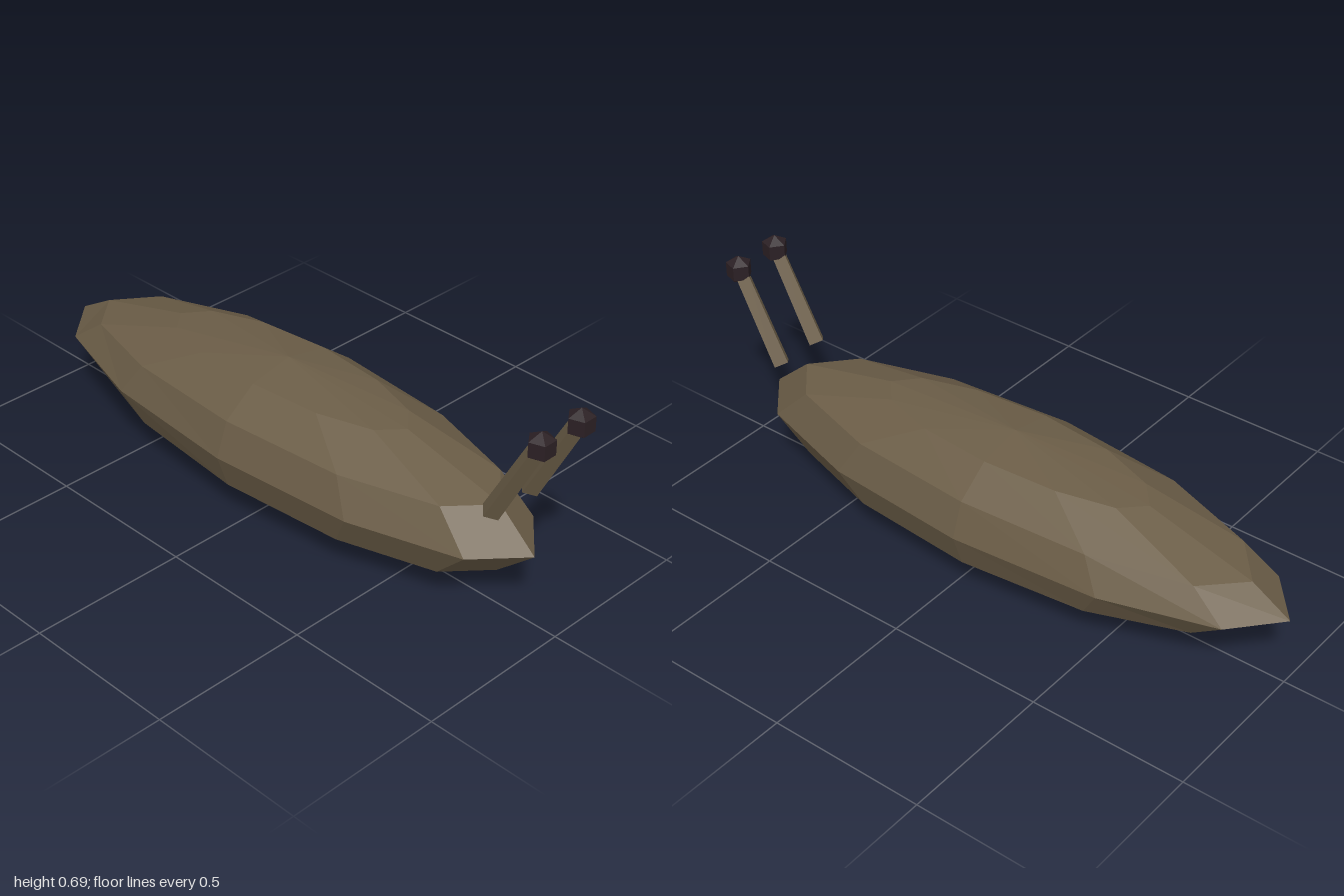
import * as THREE from 'three';

const flat = (name, color) => {
  const m = new THREE.MeshStandardMaterial({ color, flatShading: true });
  m.name = name;
  return m;
};

// A band of a faceted ellipsoid whose tail (-x) flattens towards the tip
function bodyBand(rows, thetaStart, thetaLength) {
  const g = new THREE.SphereGeometry(1, 12, rows, 0, Math.PI * 2, thetaStart, thetaLength);
  const p = g.attributes.position;
  for (let i = 0; i < p.count; i++) {
    const u = p.getX(i);
    const taper = u < 0 ? 1 - 0.43 * u * u : 1;
    p.setXYZ(i, -0.045 + u * 0.955, 0.224 + p.getY(i) * 0.222 * taper, p.getZ(i) * 0.291);
  }
  g.computeVertexNormals();
  return g;
}

export function createModel() {
  const model = new THREE.Group();
  model.name = 'slug';
  const skin = flat('brown skin', 0x6b5d47);
  const sole = flat('grey sole', 0x87877d);
  const dark = flat('dark eye', 0x2b2024);

  const add = (name, geometry, material, parent = model) => {
    const mesh = new THREE.Mesh(geometry, material);
    mesh.name = name;
    parent.add(mesh);
    return mesh;
  };

  // Body: brown back and sides, grey underside
  add('back', bodyBand(4, 0, Math.PI * 2 / 3), skin);
  add('belly', bodyBand(2, Math.PI * 2 / 3, Math.PI / 3), sole);

  // Eye stalks leaning forward, each with a faceted eye
  const base = new THREE.Vector2(0.813, 0.366);
  const tip = new THREE.Vector2(0.962, 0.648);
  const span = tip.clone().sub(base);
  for (const side of [-1, 1]) {
    const tentacle = new THREE.Group();
    tentacle.name = side > 0 ? 'frontTentacle' : 'rearTentacle';
    tentacle.position.z = side * 0.08;
    model.add(tentacle);

    const stalk = add('stalk', new THREE.CylinderGeometry(0.027, 0.031, span.length(), 4), skin, tentacle);
    stalk.position.set((base.x + tip.x) / 2, (base.y + tip.y) / 2, 0);
    stalk.rotation.z = -Math.atan2(span.x, span.y);

    const eye = add('eye', new THREE.SphereGeometry(0.046, 5, 3), dark, tentacle);
    eye.position.set(0.966, 0.65, 0);
  }
  return model;
}
